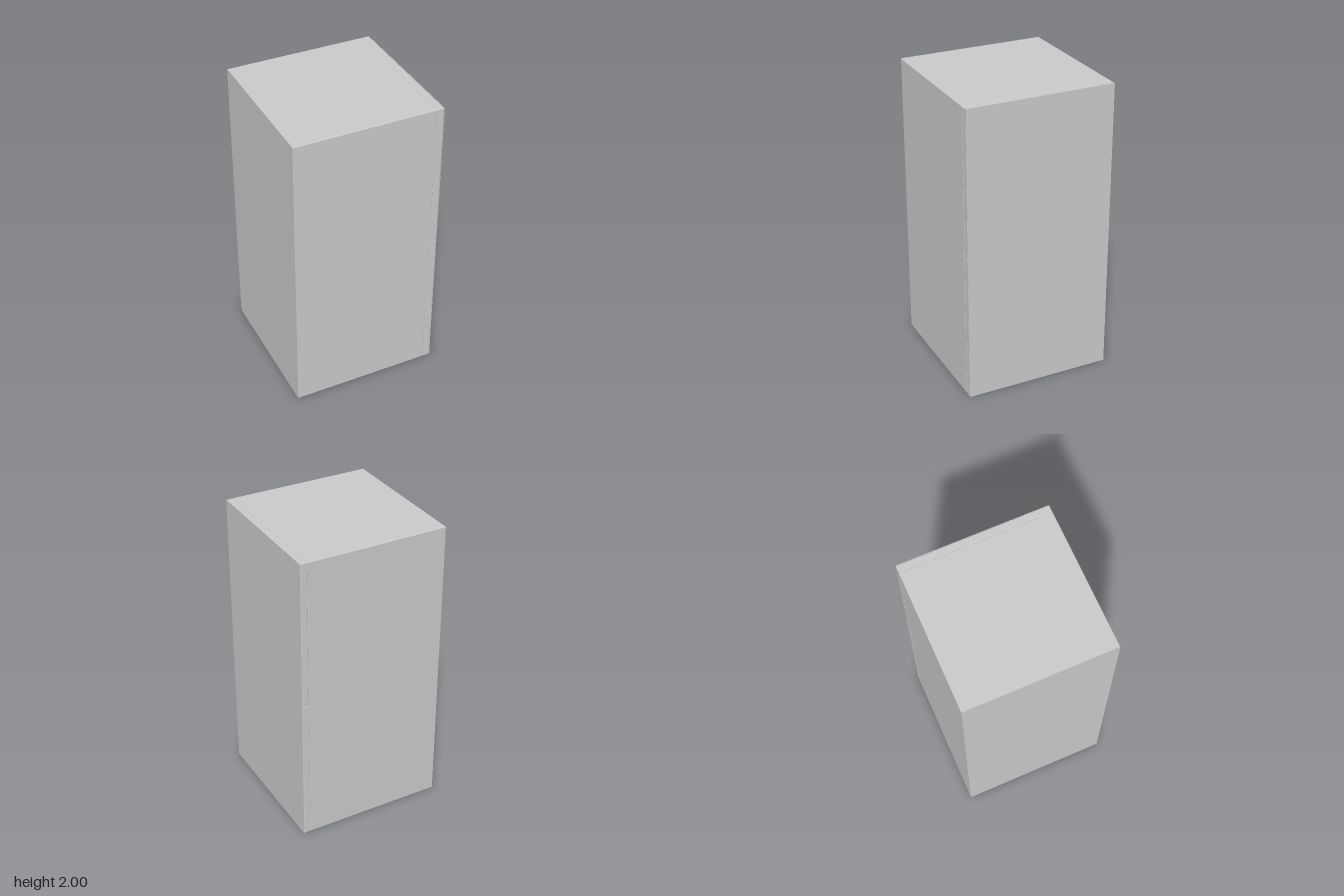
import * as THREE from 'three';
import { RoundedBoxGeometry } from 'three/addons/geometries/RoundedBoxGeometry.js';

const material = new THREE.MeshStandardMaterial({ color: 0xcccccc });
const R = 0.005; // edge radius

function add(group, name, geometry, x, y) {
  const mesh = new THREE.Mesh(geometry, material);
  mesh.name = name;
  mesh.position.set(x, y, 0);
  group.add(mesh);
}

// Rounded box running from x0 to x1, with its -x end cut off flat
function cabinetBody(x0, x1, height, depth) {
  const width = x1 - x0 + R;
  const geometry = new RoundedBoxGeometry(width, height, depth, 2, R);
  const p = geometry.attributes.position;
  const cut = -width / 2 + R;
  for (let i = 0; i < p.count; i++) p.setX(i, Math.max(p.getX(i), cut));
  geometry.translate(-cut + x0, 0, 0);
  geometry.computeVertexNormals();
  return geometry;
}

export function createModel() {
  const group = new THREE.Group();
  group.name = 'cabinet';

  // Main cabinet
  add(group, 'body', cabinetBody(-0.5, 0.45, 2, 1), 0, 1);

  // Lower and upper doors, stacked on the +x side
  ['lowerDoor', 'upperDoor'].forEach((name, i) => {
    add(group, name, new RoundedBoxGeometry(0.048, 1, 1, 2, R), 0.474, 0.5 + i);
  });

  // Thin flat sheet covering both doors
  add(group, 'doorFacing', new THREE.BoxGeometry(0.002, 2, 1), 0.499, 1);

  return group;
}
